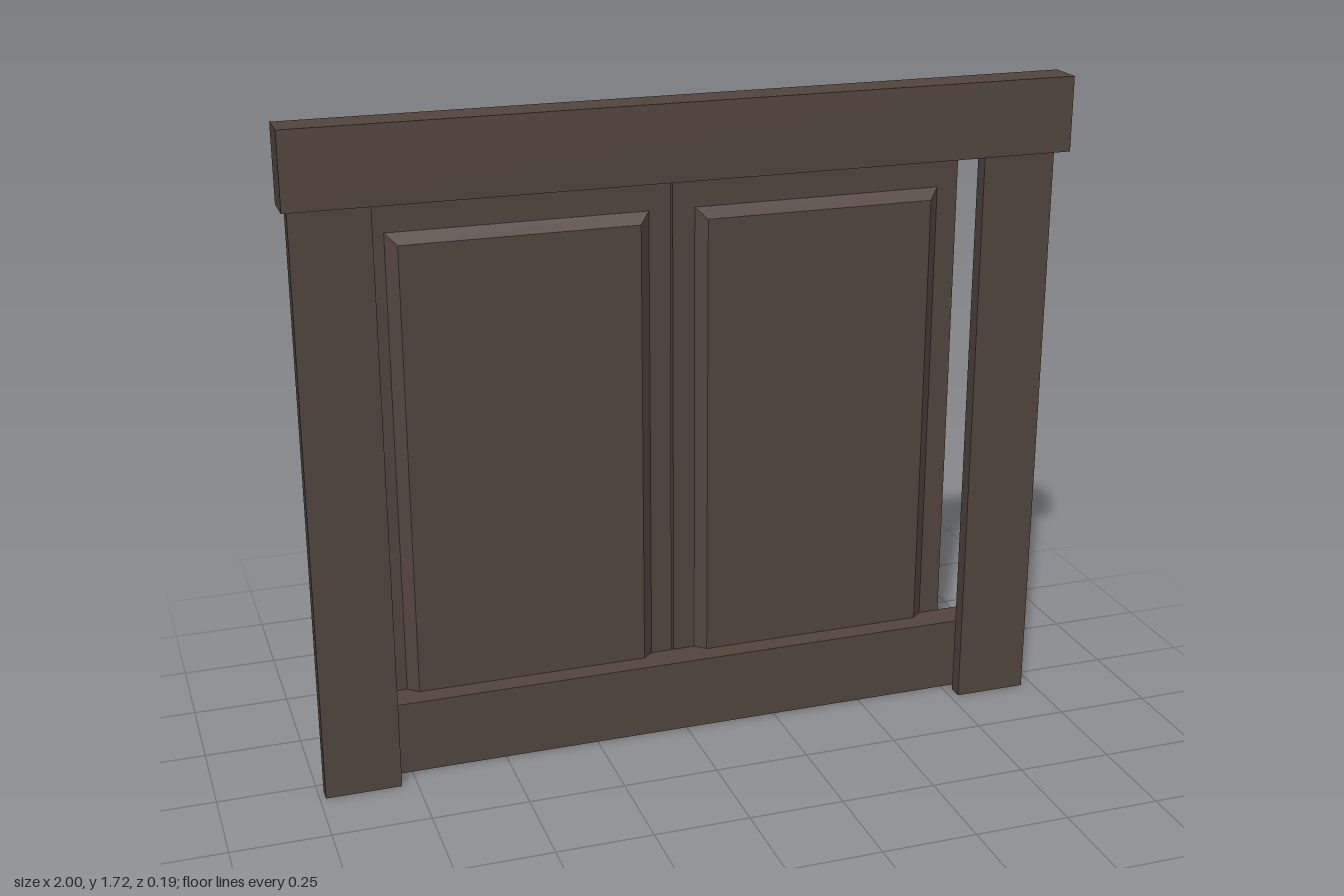
import * as THREE from 'three';

const darkWood = new THREE.MeshStandardMaterial({ color: 0x52453e });
darkWood.name = 'darkWood';

// Box given by its limits on each axis
function block(name, [x0, x1], [y0, y1], [z0, z1]) {
  const geometry = new THREE.BoxGeometry(x1 - x0, y1 - y0, z1 - z0);
  geometry.translate((x0 + x1) / 2, (y0 + y1) / 2, (z0 + z1) / 2);
  const mesh = new THREE.Mesh(geometry, darkWood);
  mesh.name = name;
  return mesh;
}

// Block whose front face is drawn in on all four sides
function raisedField(name, xs, ys, zs, inset) {
  const mesh = block(name, xs, ys, zs);
  const p = mesh.geometry.attributes.position;
  const cx = (xs[0] + xs[1]) / 2, cy = (ys[0] + ys[1]) / 2, cz = (zs[0] + zs[1]) / 2;
  for (let i = 0; i < p.count; i++) {
    if (p.getZ(i) < cz) continue;
    p.setX(i, p.getX(i) - Math.sign(p.getX(i) - cx) * inset);
    p.setY(i, p.getY(i) - Math.sign(p.getY(i) - cy) * inset);
  }
  mesh.geometry.computeVertexNormals();
  return mesh;
}

// Backing board with a bevelled field on its front
function panel(name, x0, x1) {
  const group = new THREE.Group();
  group.name = name;
  group.add(
    block('board', [x0, x1], [0, 1.546], [-0.096, -0.073]),
    raisedField('raisedField', [x0 + 0.056, x1 - 0.054], [0.125, 1.42], [-0.075, -0.049], 0.03)
  );
  return group;
}

export function createModel() {
  const model = new THREE.Group();
  model.name = 'panelledFrame';

  // Header, posts and bottom rail
  model.add(
    block('header', [-1, 1], [1.527, 1.72], [0.002, 0.096]),
    block('rightPost', [-0.985, -0.79], [0, 1.72], [0.032, 0.071]),
    block('leftPost', [0.774, 0.968], [0, 1.72], [0.032, 0.071]),
    block('bottomRail', [-0.848, 0.83], [0.001, 0.198], [-0.076, 0.008])
  );

  // Two panels with a narrow gap between them
  model.add(panel('rightPanel', -0.797, -0.017), panel('leftPanel', -0.011, 0.769));
  return model;
}
